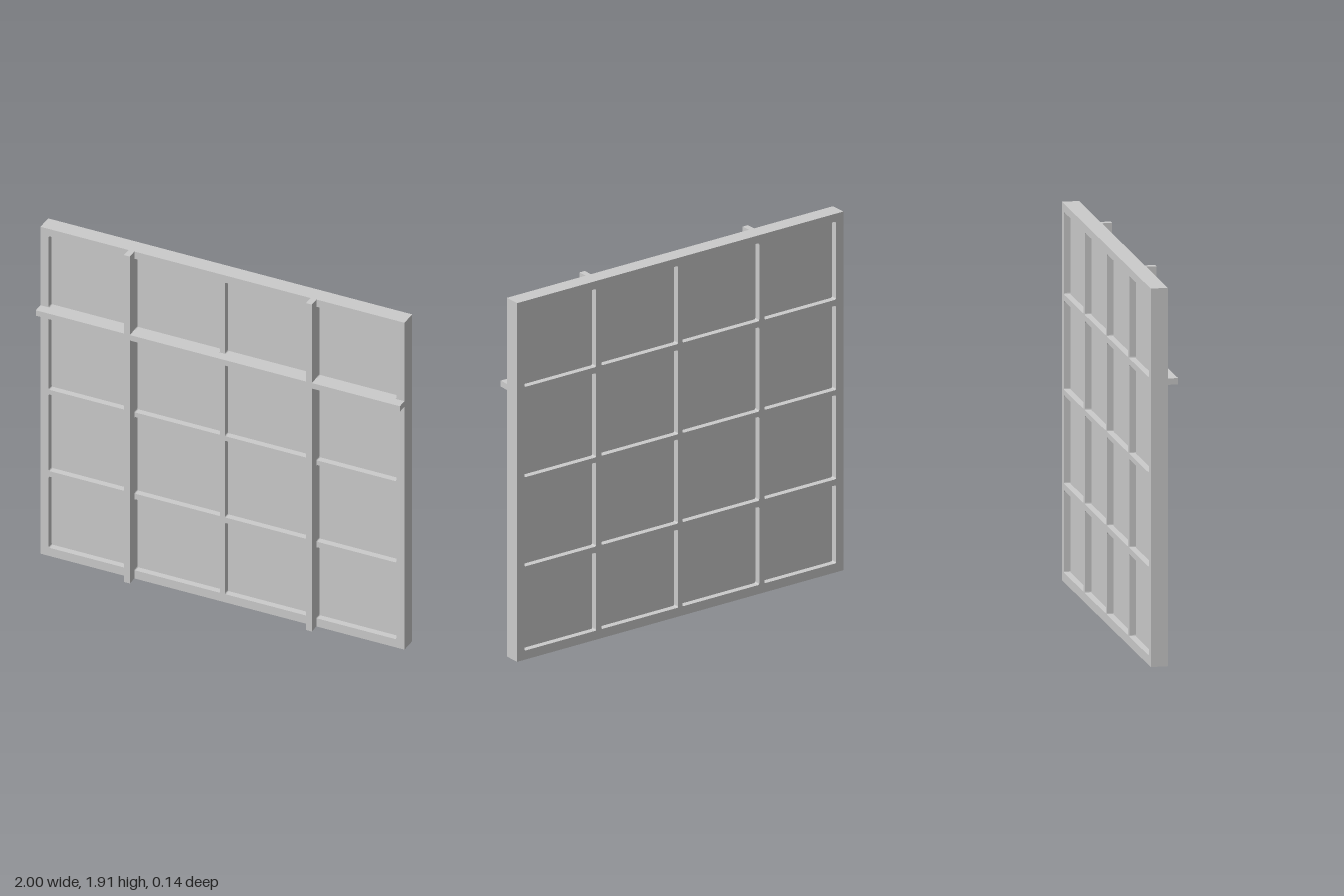
import * as THREE from 'three';

const W = 2, H = 1.914;
const Z_BACK = -0.069, Z_FRONT = 0.017, Z_BARS = 0.069;
const PANE_T = 0.02;

// Lower and upper limits of the openings between the frame and its muntins
const COLS = [[-0.955, -0.516], [-0.484, -0.013], [0.013, 0.484], [0.516, 0.955]];
const ROWS = [[0.048, 0.465], [0.497, 0.946], [0.973, 1.423], [1.455, 1.872]];

// Rectangle with slightly rounded corners
function roundedRect(target, [x0, x1], [y0, y1], r = 0.008) {
  target.moveTo(x0 + r, y0);
  target.lineTo(x1 - r, y0);
  target.quadraticCurveTo(x1, y0, x1, y0 + r);
  target.lineTo(x1, y1 - r);
  target.quadraticCurveTo(x1, y1, x1 - r, y1);
  target.lineTo(x0 + r, y1);
  target.quadraticCurveTo(x0, y1, x0, y1 - r);
  target.lineTo(x0, y0 + r);
  target.quadraticCurveTo(x0, y0, x0 + r, y0);
  return target;
}

export function createModel() {
  const model = new THREE.Group();
  model.name = 'panelledWall';
  const material = new THREE.MeshStandardMaterial({ color: 0xcccccc });

  function add(name, geometry, x = 0, y = 0, z = 0, parent = model) {
    const mesh = new THREE.Mesh(geometry, material);
    mesh.name = name;
    mesh.position.set(x, y, z);
    parent.add(mesh);
  }
  const extrude = (shape, depth) =>
    new THREE.ExtrudeGeometry(shape, { depth, bevelEnabled: false, curveSegments: 3 });

  // Outer frame and muntins in one piece, with a thin pane in each opening
  const outline = new THREE.Shape();
  outline.moveTo(-W / 2, 0).lineTo(W / 2, 0).lineTo(W / 2, H).lineTo(-W / 2, H).closePath();
  const panes = new THREE.Group();
  panes.name = 'panes';
  model.add(panes);
  const paneZ = (Z_BACK + Z_FRONT - PANE_T) / 2;
  for (const col of COLS) {
    for (const row of ROWS) {
      outline.holes.push(roundedRect(new THREE.Path(), col, row));
      add('pane', extrude(roundedRect(new THREE.Shape(), col, row), PANE_T), 0, 0, paneZ, panes);
    }
  }
  add('frame', extrude(outline, Z_FRONT - Z_BACK), 0, 0, Z_BACK);

  // Bars standing proud of the front face
  const barDepth = Z_BARS - Z_FRONT, barZ = (Z_BARS + Z_FRONT) / 2, barW = 0.032;
  for (const x of [-0.5, 0.5]) {
    add('verticalBar', new THREE.BoxGeometry(barW, H, barDepth), x, H / 2, barZ);
  }
  // Cross bar, cut where the vertical bars pass
  const inner = 0.5 - barW / 2, outer = 0.5 + barW / 2;
  for (const [x0, x1] of [[-W / 2, -outer], [-inner, inner], [outer, W / 2]]) {
    add('crossBar', new THREE.BoxGeometry(x1 - x0, barW, barDepth), (x0 + x1) / 2, 1.439, barZ);
  }
  return model;
}
